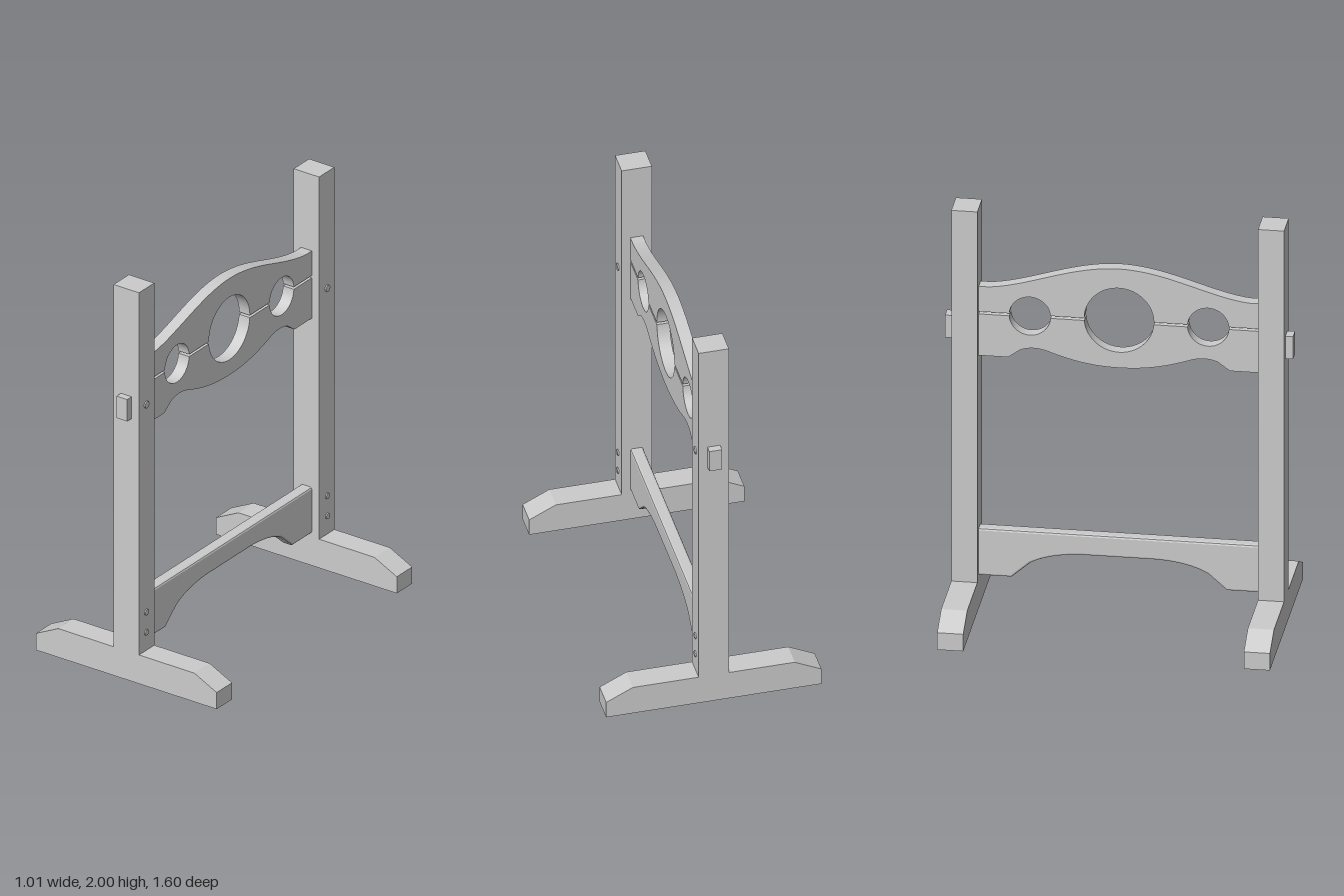
import * as THREE from 'three';

const grey = new THREE.MeshStandardMaterial({ color: 0xcccccc });

function add(parent, name, geometry, x = 0, y = 0, z = 0) {
  const mesh = new THREE.Mesh(geometry, grey);
  mesh.name = name;
  mesh.position.set(x, y, z);
  parent.add(mesh);
  return mesh;
}

// Board drawn in the (z, y) plane, centred across x
function board(shape, thickness, bevel = 0) {
  const depth = thickness - 2 * bevel;
  const g = new THREE.ExtrudeGeometry(shape, {
    depth, curveSegments: 20, bevelEnabled: bevel > 0,
    bevelSize: bevel, bevelOffset: -bevel, bevelThickness: bevel, bevelSegments: 2,
  });
  g.translate(0, 0, -depth / 2);
  g.rotateY(-Math.PI / 2);
  return g;
}

const END = 0.66;      // boards run slightly into the posts
const THICK = 0.06;
const HOLES = [[-0.41, 1.477, 0.095], [0, 1.484, 0.16], [0.41, 1.477, 0.095]];

// Seam edge from -END to END with the half circles of the neck and wrist holes
function seam(shape, y, upper) {
  shape.moveTo(-END, y);
  for (const [cz, cy, r] of HOLES) {
    const a = Math.asin((y - cy) / r);
    shape.lineTo(cz - r * Math.cos(a), y);
    shape.absarc(cz, cy, r, Math.PI - a, upper ? a : a + 2 * Math.PI, upper);
  }
  shape.lineTo(END, y);
}

function upperBoard() {
  const s = new THREE.Shape();
  seam(s, 1.484, true);
  s.lineTo(END, 1.61);
  s.lineTo(0.6, 1.61);
  s.bezierCurveTo(0.42, 1.625, 0.22, 1.74, 0, 1.74);
  s.bezierCurveTo(-0.22, 1.74, -0.42, 1.625, -0.6, 1.61);
  s.lineTo(-END, 1.61);
  s.closePath();
  return board(s, THICK);
}

function lowerBoard() {
  const s = new THREE.Shape();
  seam(s, 1.472, false);
  s.lineTo(END, 1.265);
  s.lineTo(0.51, 1.265);
  s.lineTo(0.455, 1.305);
  s.quadraticCurveTo(0.39, 1.332, 0.31, 1.3);
  s.bezierCurveTo(0.2, 1.262, 0.11, 1.246, 0, 1.246);
  s.bezierCurveTo(-0.11, 1.246, -0.2, 1.262, -0.31, 1.3);
  s.quadraticCurveTo(-0.39, 1.332, -0.455, 1.305);
  s.lineTo(-0.51, 1.265);
  s.lineTo(-END, 1.265);
  s.closePath();
  return board(s, THICK);
}

function stretcher() {
  const s = new THREE.Shape();
  s.moveTo(-END, 0.165);
  s.lineTo(-0.495, 0.165);
  s.lineTo(-0.41, 0.24);
  s.bezierCurveTo(-0.34, 0.28, -0.25, 0.294, -0.16, 0.296);
  s.lineTo(0.16, 0.296);
  s.bezierCurveTo(0.25, 0.294, 0.34, 0.28, 0.41, 0.24);
  s.lineTo(0.495, 0.165);
  s.lineTo(END, 0.165);
  s.lineTo(END, 0.4);
  s.lineTo(-END, 0.4);
  s.closePath();
  return board(s, THICK, 0.01);
}

// Foot with sloping toes, running along x
function foot() {
  const s = new THREE.Shape([
    [-0.505, 0], [0.505, 0], [0.505, 0.085], [0.38, 0.147], [-0.38, 0.147], [-0.505, 0.085],
  ].map(([x, y]) => new THREE.Vector2(x, y)));
  const g = new THREE.ExtrudeGeometry(s, { depth: 0.12, bevelEnabled: false });
  g.translate(0, 0, -0.06);
  return g;
}

export function createModel() {
  const model = new THREE.Group();
  model.name = 'pillory';

  add(model, 'upperBoard', upperBoard());
  add(model, 'lowerBoard', lowerBoard());
  add(model, 'stretcher', stretcher());

  for (const side of [1, -1]) {
    const frame = new THREE.Group();
    frame.name = side > 0 ? 'frontFrame' : 'backFrame';
    frame.position.z = side * 0.705;
    model.add(frame);

    add(frame, 'foot', foot());
    add(frame, 'post', new THREE.BoxGeometry(0.142, 1.997, 0.12), 0, 1.0015, 0);
    // Tenon of the lower board showing through the post
    add(frame, 'tenon', new THREE.BoxGeometry(THICK, 0.112, 0.065), 0, 1.4, side * 0.0625);

    // Peg heads on the left face
    for (const y of [1.405, 0.343, 0.24]) {
      const r = y > 1 ? 0.02 : 0.017;
      const peg = new THREE.CylinderGeometry(r * 0.85, r, 0.02, 10);
      peg.rotateZ(-Math.PI / 2);
      add(frame, 'peg', peg, 0.067, y, side * 0.003);
    }
  }
  return model;
}
